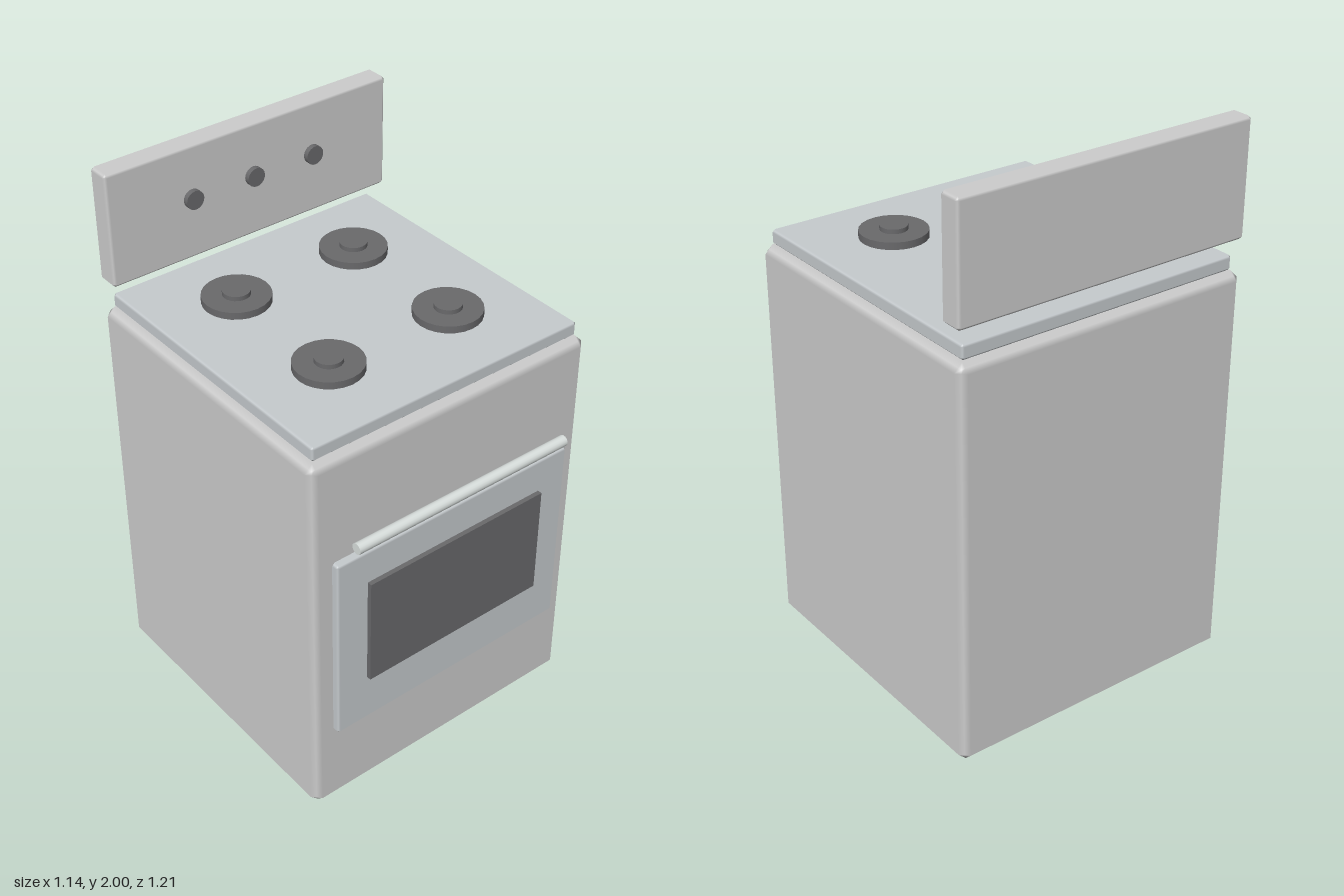
import * as THREE from 'three';

const paint = (color) => new THREE.MeshStandardMaterial({ color });

// Box with one soft chamfer along every edge
function chamferBox(w, h, d, r) {
  const geo = new THREE.BoxGeometry(w, h, d, 3, 3, 3);
  const half = [w / 2, h / 2, d / 2];
  const pos = geo.attributes.position;
  const inset = [0, 0, r / 2, (2 * r) / 3];
  for (let i = 0; i < pos.count; i++) {
    const p = [pos.getX(i), pos.getY(i), pos.getZ(i)];
    const outer = p.map((v, a) => Math.abs(v) > half[a] * 0.9);
    const n = outer.filter(Boolean).length;
    const q = p.map((v, a) => Math.sign(v) * (half[a] - (outer[a] ? inset[n] : r)));
    const normal = new THREE.Vector3(...p.map((v, a) => (outer[a] ? Math.sign(v) : 0))).normalize();
    pos.setXYZ(i, ...q);
    geo.attributes.normal.setXYZ(i, normal.x, normal.y, normal.z);
  }
  return geo;
}

export function createModel() {
  const stove = new THREE.Group();
  stove.name = 'stove';
  const grey = paint(0xcccccc);
  const enamel = paint(0xc5cacd);
  const steel = paint(0xd8dedc);
  const dark = paint(0x69696b);

  const add = (name, geo, material, x, y, z, parent = stove) => {
    const mesh = new THREE.Mesh(geo, material);
    mesh.name = name;
    mesh.position.set(x, y, z);
    parent.add(mesh);
    return mesh;
  };

  // Cabinet, hob plate and floating control panel
  add('body', chamferBox(1.136, 1.475, 1.136, 0.03), grey, 0, 0.7375, -0.038);
  add('cooktop', chamferBox(1.08, 0.055, 1.08, 0.01), enamel, 0, 1.5025, -0.038);
  add('controlPanel', chamferBox(1.136, 0.415, 0.086, 0.012), grey, 0, 1.7925, -0.556);

  // Oven door with window and bar handle
  add('ovenDoor', chamferBox(0.98, 0.74, 0.05, 0.01), enamel, 0, 0.706, 0.531);
  add('ovenWindow', new THREE.BoxGeometry(0.736, 0.418, 0.03), dark, 0, 0.739, 0.558);
  const handle = add('doorHandle', new THREE.CylinderGeometry(0.02, 0.02, 0.876, 16), steel, 0, 1.145, 0.585);
  handle.rotation.z = Math.PI / 2;

  // Four burners, each a disc with a raised cap
  for (const x of [-0.245, 0.245]) {
    for (const z of [-0.285, 0.206]) {
      const burner = new THREE.Group();
      burner.name = 'burner';
      burner.position.set(x, 1.53, z);
      add('burnerPlate', new THREE.CylinderGeometry(0.118, 0.118, 0.026, 24), dark, 0, 0.013, 0, burner);
      add('burnerCap', new THREE.CylinderGeometry(0.048, 0.048, 0.016, 24), dark, 0, 0.034, 0, burner);
      stove.add(burner);
    }
  }

  // Control knobs
  for (const x of [-0.246, 0, 0.246]) {
    const knob = add('knob', new THREE.CylinderGeometry(0.034, 0.034, 0.03, 20), dark, x, 1.81, -0.509);
    knob.rotation.x = Math.PI / 2;
  }

  return stove;
}
